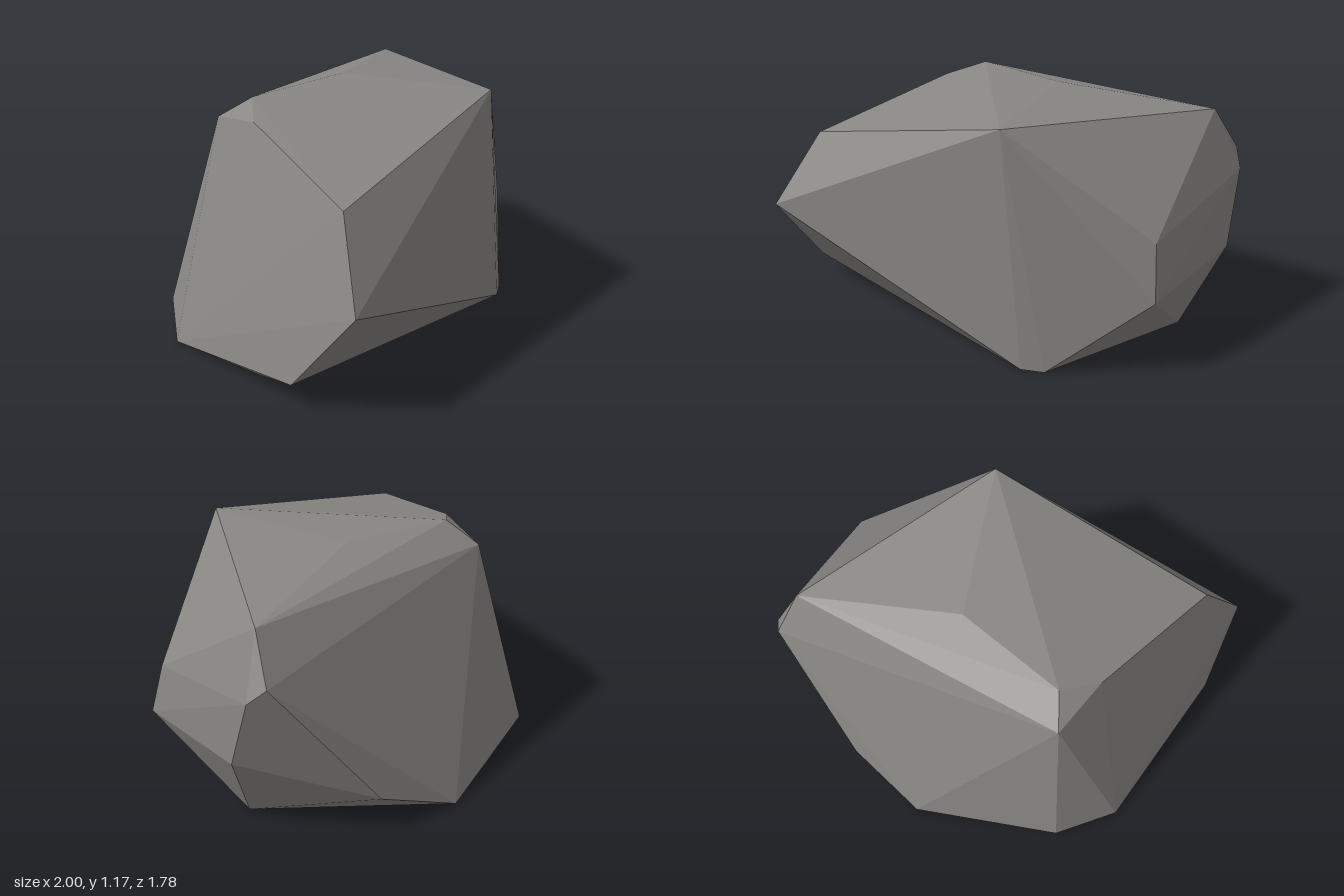
import * as THREE from 'three';
import { ConvexGeometry } from 'three/addons/geometries/ConvexGeometry.js';

// A low-poly boulder: the faceted hull around a few corner points.
export function createModel() {
  const stone = new THREE.MeshStandardMaterial({ color: 0x888683 });
  stone.name = 'stone grey';

  const corners = [
    // flat base on the ground
    [0.52, 0, 0.53], [0.62, 0, 0.47], [0.76, 0, -0.37], [-0.1, 0, -0.89],
    [-0.44, 0, -0.72], [-0.985, 0, -0.28], [-0.91, 0, 0.25],
    // lower sides
    [-1, 0.12, 0.57], [-0.79, 0.065, -0.57], [0.32, 0.19, -0.85],
    // bulging middle
    [-0.92, 0.53, 0.89], [1, 0.38, 0.14], [0.95, 0.65, 0.09], [0.92, 0.435, -0.52],
    // shoulders
    [0.89, 0.81, -0.63], [0.82, 0.89, -0.69], [-0.78, 0.91, 0.68],
    [-0.6, 1.055, -0.36], [-0.63, 1.1, -0.06],
    // top
    [0.39, 1.165, 0.53], [0.78, 1.11, -0.54], [0.07, 1.175, -0.18], [-0.5, 1.16, -0.22],
  ];

  const boulder = new THREE.Mesh(
    new ConvexGeometry(corners.map((c) => new THREE.Vector3(...c))), stone);
  boulder.name = 'boulder';

  const group = new THREE.Group();
  group.name = 'rock';
  group.add(boulder);
  return group;
}
